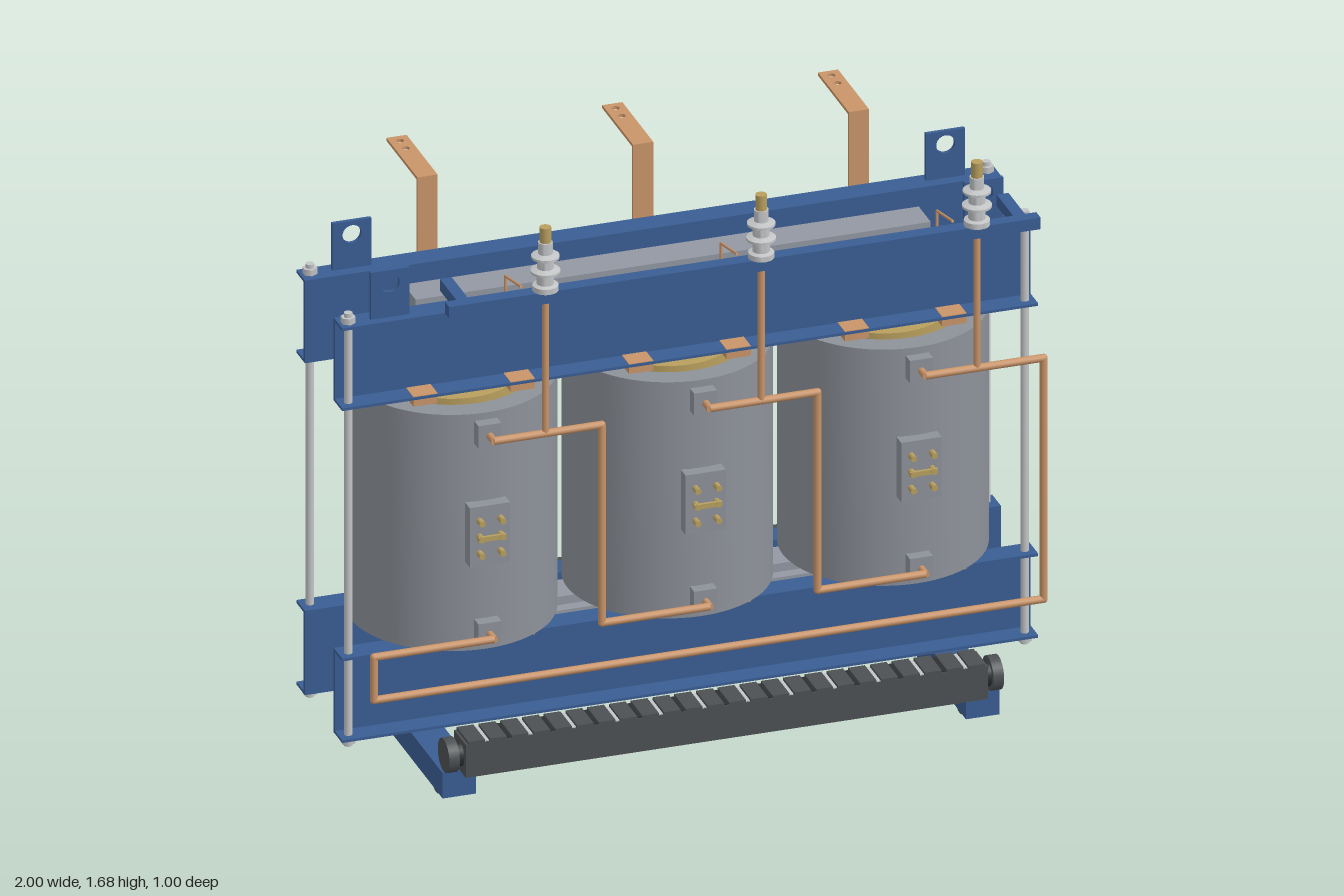
import * as THREE from 'three';
import { toCreasedNormals } from 'three/addons/utils/BufferGeometryUtils.js';

const mat = (name, color) => new THREE.MeshStandardMaterial({ name, color });

export function createModel() {
  const root = new THREE.Group();
  root.name = 'threePhaseTransformer';
  const blue = mat('blue paint', 0x3a5d93);
  const resin = mat('coil resin grey', 0x8d9199);
  const steel = mat('core steel grey', 0x9298a2);
  const copper = mat('copper', 0xc99468);
  const brass = mat('brass', 0xb89f5e);
  const zinc = mat('zinc light grey', 0xc2c4c6);
  const dark = mat('blower dark grey', 0x4c5053);
  const black = mat('rubber black', 0x2c2e30);

  const add = (name, geo, material, x = 0, y = 0, z = 0, parent = root) => {
    const m = new THREE.Mesh(geo, material);
    m.name = name;
    m.position.set(x, y, z);
    parent.add(m);
    return m;
  };
  // box given by its min and max on each axis
  const box = (name, material, x0, x1, y0, y1, z0, z1) =>
    add(name, new THREE.BoxGeometry(x1 - x0, y1 - y0, z1 - z0), material,
      (x0 + x1) / 2, (y0 + y1) / 2, (z0 + z1) / 2);
  // round bar between two points
  const bar = (name, material, a, b, r, sides = 12) => {
    const p = new THREE.Vector3(...a), q = new THREE.Vector3(...b);
    const m = add(name, new THREE.CylinderGeometry(r, r, p.distanceTo(q), sides), material);
    m.position.copy(p).add(q).multiplyScalar(0.5);
    m.quaternion.setFromUnitVectors(new THREE.Vector3(0, 1, 0), q.sub(p).normalize());
    return m;
  };
  // bent conductor with rounded corners
  const conductor = (name, points, r) => points.forEach((p, i) => {
    if (i) bar(name, copper, points[i - 1], p, r);
    if (i && i < points.length - 1) add(name + 'Bend', new THREE.SphereGeometry(r, 12, 8), copper, ...p);
  });
  const extrude = (shape, depth, curveSegments = 24) =>
    new THREE.ExtrudeGeometry(shape, { depth, bevelEnabled: false, curveSegments });
  const hole = (shape, x, y, r) => shape.holes.push(new THREE.Path().absarc(x, y, r, 0, Math.PI * 2, true));
  const rect = (x0, x1, y0, y1) => new THREE.Shape([[x0, y0], [x1, y0], [x1, y1], [x0, y1]]
    .map(p => new THREE.Vector2(...p)));
  const ring = (outer, inner, height) => {
    const s = new THREE.Shape().absarc(0, 0, outer, 0, Math.PI * 2);
    hole(s, 0, 0, inner);
    return toCreasedNormals(extrude(s, height, 32).rotateX(-Math.PI / 2), 0.6);
  };
  const phases = [-0.62, 0, 0.62], sides = [-1, 1];

  // laminated core with a stepped cross-section
  const quarter = [[0.108, 0.065], [0.083, 0.065], [0.083, 0.1], [0.05, 0.1], [0.05, 0.125]];
  const flip = (sx, sy) => quarter.map(([x, y]) => new THREE.Vector2(x * sx, y * sy));
  const section = (swap) => {
    const pts = [...flip(1, 1), ...flip(-1, 1).reverse(), ...flip(-1, -1), ...flip(1, -1).reverse()];
    return new THREE.Shape(swap ? pts.map(p => new THREE.Vector2(-p.y, p.x)) : pts);
  };
  for (const y of [0.27, 1.235])
    add('coreYoke', extrude(section(false), 1.48).rotateY(Math.PI / 2), steel, -0.74, y, 0);
  for (const x of phases)
    add('coreLeg', extrude(section(true), 0.86).rotateX(-Math.PI / 2), steel, x, 0.32, 0);

  // windings, spacers and front terminals
  for (const x of phases) {
    add('outerCoil', ring(0.288, 0.225, 0.715), resin, x, 0.395, 0);
    add('innerCoil', ring(0.188, 0.15, 0.715), brass, x, 0.395, 0);
    for (const sx of sides) for (const sz of sides) for (const y of [0.365, 1.11])
      box('coilSpacer', copper, x + sx * 0.14 - 0.035, x + sx * 0.14 + 0.035, y, y + 0.03,
        sz * 0.15 - 0.04, sz * 0.15 + 0.04);
    for (const y of [0.455, 1.055]) {
      box('terminalPad', resin, x - 0.033, x + 0.033, y - 0.034, y + 0.034, 0.26, 0.322);
      bar('terminalStud', copper, [x, y, 0.32], [x, y, 0.36], 0.01);
    }
    box('tapPanel', resin, x - 0.058, x + 0.058, 0.665, 0.845, 0.26, 0.322);
    for (const sx of sides) for (const y of [0.705, 0.755, 0.803])
      bar('tapStud', brass, [x + sx * 0.03, y, 0.32], [x + sx * 0.03, y, 0.348], 0.009);
    box('tapLink', brass, x - 0.04, x + 0.04, 0.748, 0.762, 0.336, 0.345);
  }

  // clamping channels, opening outward, with lifting lugs
  for (const s of sides) {
    const slab = (name, y0, y1, a, b) =>
      box(name, blue, -1, 1, y0, y1, Math.min(s * a, s * b), Math.max(s * a, s * b));
    for (const [y0, y1] of [[0.125, 0.38], [1.13, 1.38]]) {
      slab('clampWeb', y0, y1, 0.12, 0.13);
      slab('clampFlange', y0, y0 + 0.008, 0.12, 0.192);
      slab('clampFlange', y1 - 0.008, y1, 0.12, 0.192);
    }
    for (const sx of sides) {
      const lug = rect(-0.056, 0.056, 0, 0.142);
      hole(lug, 0, 0.102, 0.027);
      add('liftingLug', extrude(lug, 0.012), blue, sx * 0.853, 1.38, s * 0.16 - 0.006);
      // tie rod and nuts
      const x = sx * 0.972, z = s * 0.16;
      bar('tieRod', zinc, [x, 0.1, z], [x, 1.41, z], 0.012);
      for (const y of [0.108, 1.38]) {
        bar('tieRodNut', zinc, [x, y, z], [x, y + 0.018, z], 0.021, 6);
      }
    }
  }

  // foot beams and rollers
  for (const s of sides) {
    box('footBeam', blue, s * 0.752 - 0.048, s * 0.752 + 0.048, 0.045, 0.122, -0.45, 0.45);
    for (const sz of sides) {
      bar('roller', dark, [s * 0.752 - 0.022, 0.044, sz * 0.32], [s * 0.752 + 0.022, 0.044, sz * 0.32], 0.044, 24);
      bar('rollerAxle', black, [s * 0.752 - 0.026, 0.044, sz * 0.32], [s * 0.752 + 0.026, 0.044, sz * 0.32], 0.014);
    }
  }

  // cooling blowers along both sides
  for (const s of sides) {
    const z = s * 0.45;
    box('blowerHousing', dark, -0.75, 0.75, 0.122, 0.222, z - 0.049, z + 0.049);
    for (let i = 0; i < 24; i++) {
      const x = -0.719 + i * 0.0625;
      box('blowerGrilleBar', dark, x - 0.024, x + 0.024, 0.222, 0.23, z - 0.049, z + 0.049);
      if (i < 23) box('blowerSlot', i % 2 ? black : zinc, x + 0.025, x + 0.037, 0.222, 0.225, z - 0.045, z + 0.045);
    }
    for (const sx of sides) {
      bar('blowerShaft', black, [sx * 0.75, 0.175, z], [sx * 0.77, 0.175, z], 0.036, 20);
      bar('blowerMotor', dark, [sx * 0.767, 0.175, z], [sx * 0.797, 0.175, z], 0.049, 28);
    }
  }

  // insulator rail and its arms
  box('insulatorRail', blue, -0.755, 0.945, 1.455, 1.49, 0.337, 0.373);
  for (const x of [-0.705, 0.895])
    box('railArm', blue, x - 0.017, x + 0.017, 1.455, 1.49, 0.2, 0.34);

  // post insulators with sheds
  const profile = [[0, 0], [0.036, 0], [0.036, 0.016], [0.024, 0.02], [0.024, 0.05], [0.041, 0.054],
    [0.041, 0.061], [0.023, 0.067], [0.023, 0.094], [0.039, 0.098], [0.039, 0.105], [0.02, 0.111],
    [0.02, 0.145], [0, 0.145]].map(p => new THREE.Vector2(...p));
  const insulator = toCreasedNormals(new THREE.LatheGeometry(profile, 24), 0.6);
  for (const c of phases) {
    const x = c + 0.148;
    add('postInsulator', insulator, zinc, x, 1.49, 0.355);
    bar('insulatorTip', brass, [x, 1.63, 0.355], [x, 1.68, 0.355], 0.016, 16);
    conductor('dropConductor', [[x, 1.46, 0.355], [x, 1.055, 0.355]], 0.01);
    conductor('thinLead', [[c + 0.115, 1.13, 0.116], [c + 0.115, 1.425, 0.116], [c + 0.115, 1.455, 0.25]], 0.004);
  }

  // delta connections between phases
  const z = 0.355;
  for (const x of [-0.62, 0])
    conductor('deltaConductor', [[x, 1.055, z], [x + 0.31, 1.055, z], [x + 0.31, 0.455, z], [x + 0.62, 0.455, z]], 0.011);
  conductor('deltaReturn', [[0.62, 1.055, z], [0.96, 1.055, z], [0.96, 0.325, z], [-0.965, 0.325, z],
    [-0.965, 0.455, z], [-0.62, 0.455, z]], 0.011);

  // flat low-voltage busbars at the back
  for (const x of phases) {
    box('busbarRiser', copper, x - 0.029, x + 0.029, 1.05, 1.599, -0.21, -0.201);
    const top = rect(-0.029, 0.029, 0.205, 0.46);
    for (const y of [0.382, 0.432]) hole(top, 0, y, 0.011);
    add('busbarTop', extrude(top, 0.009, 10).rotateX(-Math.PI / 2), copper, x, 1.59, 0);
  }
  return root;
}
